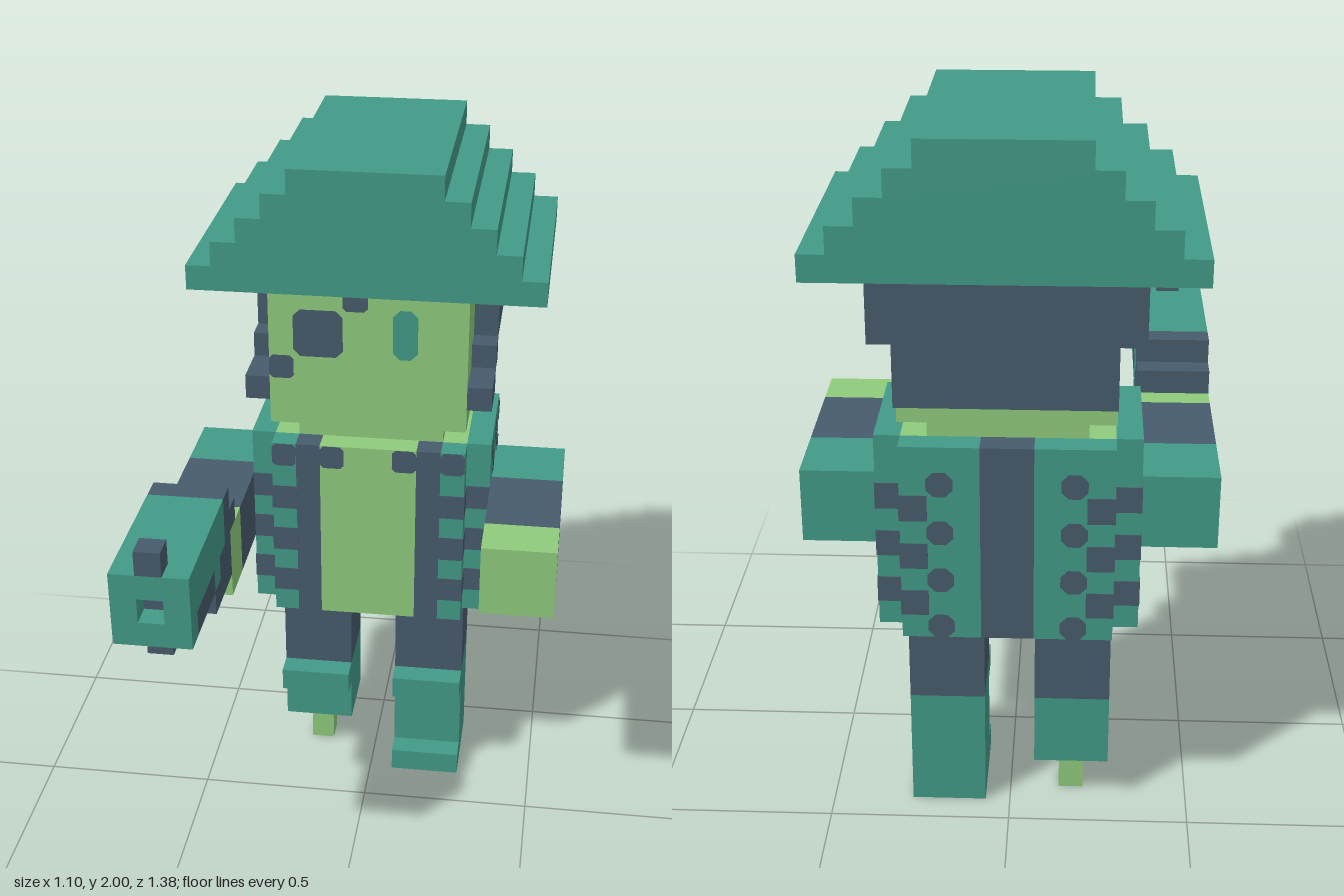
import * as THREE from 'three';

const UNIT = 2 / 29; // one voxel; everything below is measured in voxels

const flat = (name, color) => {
  const m = new THREE.MeshStandardMaterial({ color });
  m.name = name;
  return m;
};

export function createModel() {
  const green = flat('light green', 0x8fcb7c);
  const teal = flat('teal', 0x429a87);
  const dark = flat('slate', 0x475b6c);

  const model = new THREE.Group();
  model.name = 'blockFigure';

  const part = (name) => {
    const g = new THREE.Group();
    g.name = name;
    model.add(g);
    return g;
  };

  // Box from x, y and z ranges, optionally swollen by a hair for painted bands
  const box = (parent, name, mat, [x0, x1], [y0, y1], [z0, z1], swell = 0) => {
    const s = 2 * swell;
    const geo = new THREE.BoxGeometry(x1 - x0 + s, y1 - y0 + s, z1 - z0 + s);
    const mesh = new THREE.Mesh(geo, mat);
    mesh.position.set((x0 + x1) / 2, (y0 + y1) / 2, (z0 + z1) / 2);
    mesh.name = name;
    parent.add(mesh);
  };

  // Painted patch with clipped corners; angle turns it from the front to a side
  const patch = (parent, name, mat, [u0, u1], [v0, v1], depth, angle = 0, c = 0.28) => {
    const shape = new THREE.Shape([
      [u0 + c, v0], [u1 - c, v0], [u1, v0 + c], [u1, v1 - c],
      [u1 - c, v1], [u0 + c, v1], [u0, v1 - c], [u0, v0 + c],
    ].map(([u, v]) => new THREE.Vector2(u, v)));
    const mesh = new THREE.Mesh(new THREE.ShapeGeometry(shape), mat);
    const d = depth + 0.04;
    mesh.position.set(Math.sin(angle) * d, 0, Math.cos(angle) * d);
    mesh.rotation.y = angle;
    mesh.name = name;
    parent.add(mesh);
  };

  // Range mirrored to the chosen side
  const flip = (s, a, b) => (s > 0 ? [a, b] : [-b, -a]);

  // Stepped hat
  const hat = part('hat');
  for (let i = 0; i < 5; i++) {
    box(hat, 'hatStep', teal, [i - 7, 7 - i], [24 + i, 25 + i], [-10, 0]);
  }

  // Head, neck and face
  const head = part('head');
  box(head, 'skull', green, [-4, 4], [18, 24], [-8, -1]);
  box(head, 'neck', green, [-3, 3], [17, 18], [-7, -2]);
  patch(head, 'eye', teal, [1, 2], [21.05, 23.15], -1);
  patch(head, 'eyePatch', dark, [-3, -1], [21, 23], -1);
  patch(head, 'upperStrap', dark, [-1, 0], [23, 24], -1, 0, 0.15);
  patch(head, 'lowerStrap', dark, [-4, -3], [20, 21], -1, 0, 0.15);

  // Hair
  const hair = part('hair');
  box(hair, 'backHair', dark, [-4, 4], [19, 24], [-9, -8]);
  for (const s of [1, -1]) {
    const x = flip(s, 4, 5);
    box(hair, 'sideHairTop', dark, x, [23, 24], [-8, -3]);
    box(hair, 'sideHair', dark, x, [21, 23], [-8, -4]);
    box(hair, 'sideburn', dark, x, [20, 21], [-4, -3]);
    box(hair, 'sideburnTip', dark, x, [19, 20], [-3, -1]);
  }

  // Body core with vest plates around it
  const torso = part('torso');
  const tall = [9, 17];
  box(torso, 'bodyCore', green, [-4, 4], tall, [-7, -2]);
  box(torso, 'chest', green, [-2, 2], tall, [-2, -1]);
  box(torso, 'backStripe', dark, [-1, 1], tall, [-8, -7]);
  for (const s of [1, -1]) {
    box(torso, 'lapel', dark, flip(s, 2, 3), tall, [-2, -1]);
    box(torso, 'vestFront', teal, flip(s, 3, 4), tall, [-2, -1]);
    box(torso, 'vestBack', teal, flip(s, 1, 4), tall, [-8, -7]);
    box(torso, 'vestSide', teal, flip(s, 4, 5), tall, [-7, -2]);
    patch(torso, 'collarInner', dark, flip(s, 1, 2), [16, 17], -1, 0, 0.15);
    patch(torso, 'collarOuter', dark, flip(s, 3, 4), [16, 17], -1, 0, 0.15);

    // Dark bands wrapping the notched corners
    for (const y of [10, 12, 14]) {
      const row = [y, y + 1];
      box(torso, 'frontBand', dark, flip(s, 3, 4), row, [-2, -1], 0.03);
      box(torso, 'frontSideBand', dark, flip(s, 4, 5), row, [-3, -2], 0.03);
      box(torso, 'backBand', dark, flip(s, 3, 4), row, [-8, -7], 0.03);
      box(torso, 'backSideBand', dark, flip(s, 4, 5), row, [-7, -6], 0.03);
    }
    // Spots on the back and sides
    for (const y of [9, 11, 13, 15]) {
      patch(torso, 'backSpot', dark, flip(-s, 2, 3), [y, y + 1], 8, Math.PI);
    }
    for (const [z, y] of [[2, 16], [4, 16], [6, 16], [3, 15], [5, 15], [3, 9], [5, 9]]) {
      patch(torso, 'sideSpot', dark, flip(s, z, z + 1), [y, y + 1], 5, s * Math.PI / 2);
    }
  }

  // Arms stretched forward
  for (const s of [1, -1]) {
    const arm = part(s > 0 ? 'leftArm' : 'rightArm');
    const x = flip(s, 5, 8);
    box(arm, 'sleeve', teal, x, [12, 15], [-6, -3]);
    box(arm, 'forearm', dark, x, [12, 15], [-3, 1]);
    box(arm, 'hand', green, x, [12, 15], [1, 3]);
  }

  // Legs, one boot and one peg
  for (const s of [1, -1]) {
    const leg = part(s > 0 ? 'leftLeg' : 'rightLeg');
    const x = flip(s, 1, 4);
    box(leg, 'trouser', dark, x, [5, 9], [-6, -3]);
    box(leg, 'boot', teal, x, [s > 0 ? 0 : 2, 5], [-6, -3]);
    box(leg, 'cuff', teal, x, [4, 5], [-3, -2]);
    if (s > 0) box(leg, 'toe', teal, x, [0, 1], [-3, -2]);
    else box(leg, 'peg', green, [-3, -2], [0, 2], [-5, -4]);
  }

  // Blaster held in the right hand
  const gun = part('blaster');
  const gx = [-8, -5];
  box(gun, 'barrel', teal, gx, [15, 17], [4, 9]);
  box(gun, 'barrelUnderside', dark, gx, [14, 15], [6, 9]);
  box(gun, 'guard', teal, gx, [14, 15], [5, 6]);
  box(gun, 'gripTop', dark, gx, [14, 15], [3, 5]);
  box(gun, 'grip', dark, gx, [13, 14], [3, 6]);
  box(gun, 'foregrip', dark, [-7, -6], [13, 14], [7, 9]);
  box(gun, 'hammer', dark, gx, [15, 16], [2, 4]);
  box(gun, 'rearSight', dark, gx, [16, 17], [3, 4]);
  box(gun, 'rearFace', dark, gx, [15, 16], [4, 4.02]);
  box(gun, 'frontSight', dark, [-7, -6], [17, 18], [9, 10]);

  // Muzzle block with a square bore
  const square = (Type, x0, x1, y0, y1) => new Type([
    new THREE.Vector2(x0, y0), new THREE.Vector2(x1, y0),
    new THREE.Vector2(x1, y1), new THREE.Vector2(x0, y1),
  ]);
  const face = square(THREE.Shape, -8, -5, 14, 17);
  face.holes.push(square(THREE.Path, -7, -6, 15, 16));
  const muzzle = new THREE.Mesh(
    new THREE.ExtrudeGeometry(face, { depth: 1, bevelEnabled: false }), teal);
  muzzle.position.z = 9;
  muzzle.name = 'muzzle';
  gun.add(muzzle);
  patch(gun, 'bore', dark, [-7, -6], [15, 16], 9, 0, 0.01);

  model.scale.setScalar(UNIT);
  return model;
}
